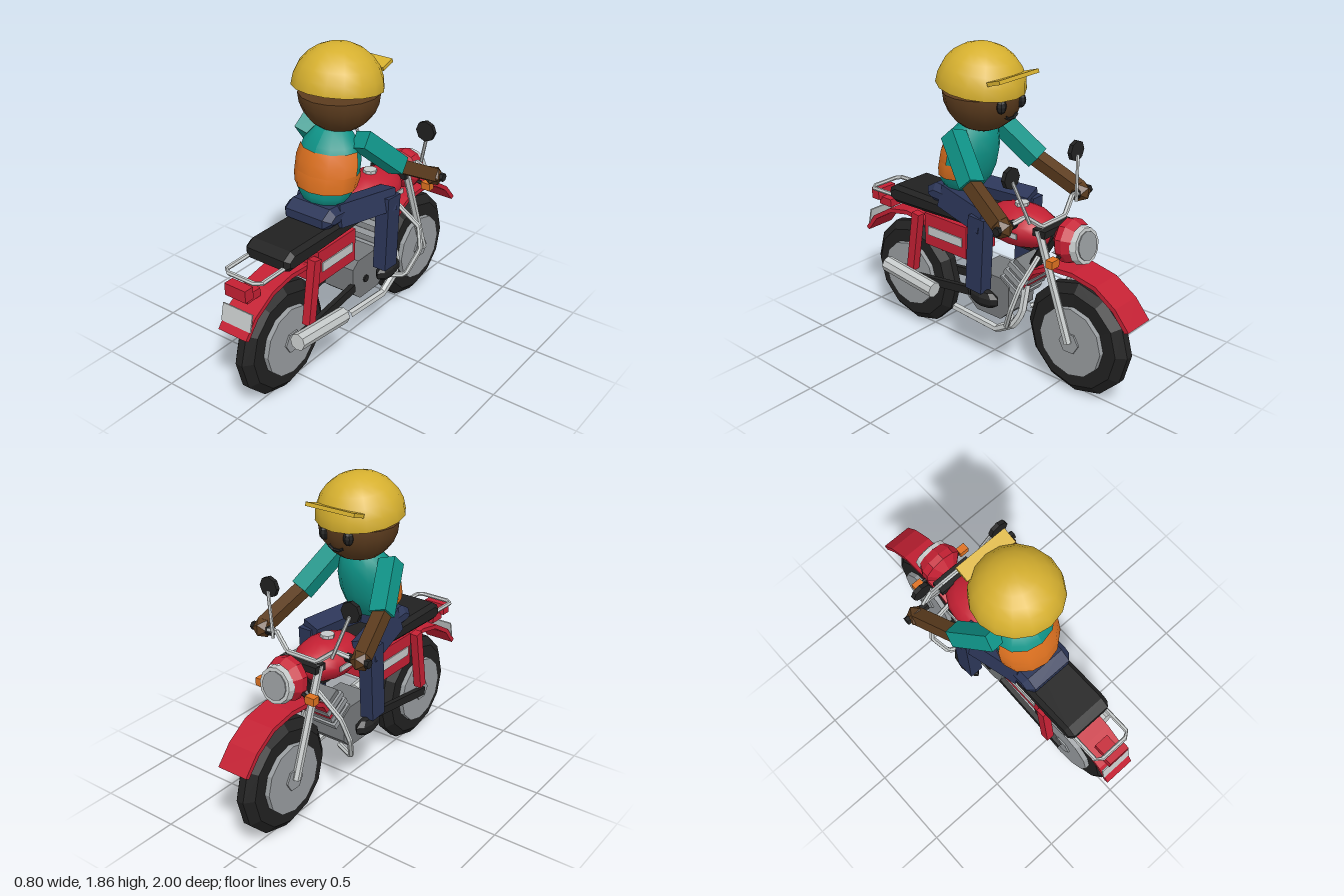
import * as THREE from 'three';

const mat = (name, color) => {
  const m = new THREE.MeshStandardMaterial({ color });
  m.name = name;
  return m;
};

export function createModel() {
  const root = new THREE.Group();
  root.name = 'motorcycleAndRider';
  const red = mat('red paint', 0xc42033), yellow = mat('helmet yellow', 0xd6b02f), teal = mat('shirt teal', 0x0f9488);
  const orange = mat('orange', 0xdd7120), navy = mat('trouser navy', 0x2c3658), brown = mat('skin brown', 0x5c3c1e);
  const black = mat('black rubber', 0x212121), silver = mat('silver', 0xc6caca);
  const grey = mat('wheel grey', 0x989c9f), iron = mat('engine grey', 0x76797b);
  const V = (p) => new THREE.Vector3(...p);

  // Faceted normals unless smooth is asked for
  function add(name, geo, material, pos = [0, 0, 0], rot = [0, 0, 0], smooth = false) {
    if (!smooth) {
      if (geo.index) geo = geo.toNonIndexed();
      geo.computeVertexNormals();
    }
    const mesh = new THREE.Mesh(geo, material);
    mesh.name = name;
    mesh.position.set(...pos);
    mesh.rotation.set(...rot);
    root.add(mesh);
    return mesh;
  }
  const box = (name, size, m, pos, rot) => add(name, new THREE.BoxGeometry(...size), m, pos, rot);

  // Straight part between two points
  function between(name, a, b, m, make) {
    let p = V(a), q = V(b);
    if (q.y < p.y) [p, q] = [q, p];
    const d = q.clone().sub(p);
    const mesh = add(name, make(d.length()), m, p.clone().add(q).multiplyScalar(0.5).toArray());
    mesh.quaternion.setFromUnitVectors(new THREE.Vector3(0, 1, 0), d.normalize());
    return mesh;
  }
  const rod = (name, a, b, r, m, sides = 6) => between(name, a, b, m, (l) => new THREE.CylinderGeometry(r, r, l, sides));
  const bar = (name, a, b, w, d, m) => between(name, a, b, m, (l) => new THREE.BoxGeometry(w, l, d));

  // Bent pipe through straight sections
  function pipe(name, pts, r, m) {
    const path = new THREE.CurvePath();
    for (let i = 1; i < pts.length; i++) path.add(new THREE.LineCurve3(V(pts[i - 1]), V(pts[i])));
    return add(name, new THREE.TubeGeometry(path, (pts.length - 1) * 5, r, 6), m);
  }

  // Side profile given as [z, y], extruded across x
  function profile(name, pts, width, m, bevel = 0) {
    const geo = new THREE.ExtrudeGeometry(new THREE.Shape(pts.map((p) => new THREE.Vector2(...p))), {
      depth: width - 2 * bevel, bevelEnabled: bevel > 0, bevelSize: bevel, bevelThickness: bevel,
      bevelOffset: -bevel, bevelSegments: 1,
    });
    geo.rotateY(-Math.PI / 2).translate(width / 2 - bevel, 0, 0);
    return add(name, geo, m);
  }
  const pair = (build) => [1, -1].forEach(build);
  const SIDE = [0, 0, Math.PI / 2];

  // Wheels
  for (const [label, z] of [['rear', 0.63], ['front', -0.62]]) {
    const tyre = [[0.19, -0.06], [0.285, -0.062], [0.335, -0.022], [0.335, 0.022], [0.285, 0.062], [0.19, 0.06]];
    add(label + 'Tyre', new THREE.LatheGeometry(tyre.map((p) => new THREE.Vector2(...p)), 12), black, [0, 0.335, z], SIDE);
    add(label + 'WheelDisc', new THREE.CylinderGeometry(0.205, 0.205, 0.18, 12), grey, [0, 0.335, z], SIDE);
    add(label + 'Hub', new THREE.CylinderGeometry(0.065, 0.065, 0.2, 6), grey, [0, 0.335, z], SIDE);
  }

  // Fenders: arched strips offset towards the wheel centre
  function fender(name, pts, zc) {
    const inner = pts.map(([z, y]) => {
      const dz = zc - z, dy = 0.34 - y, l = Math.hypot(dz, dy);
      return [z + dz / l * 0.027, y + dy / l * 0.027];
    });
    profile(name, [...pts, ...inner.reverse()], 0.19, red);
  }
  fender('rearFender', [[1, 0.545], [0.92, 0.645], [0.78, 0.73], [0.63, 0.76], [0.5, 0.752], [0.4, 0.7], [0.31, 0.6]], 0.63);
  fender('frontFender', [[-1, 0.54], [-0.91, 0.645], [-0.78, 0.73], [-0.625, 0.76], [-0.47, 0.75], [-0.34, 0.68], [-0.26, 0.54]], -0.62);

  // Tail: light, plate, rack
  box('tailLight', [0.14, 0.07, 0.06], red, [0, 0.78, 0.93]);
  box('tailBracket', [0.09, 0.05, 0.1], red, [0, 0.735, 0.87]);
  box('rearPlate', [0.2, 0.1, 0.009], silver, [0, 0.63, 0.955], [-0.22, 0, 0]);
  pipe('luggageRack', [[-0.12, 0.85, 0.6], [-0.12, 0.845, 0.91], [0.12, 0.845, 0.91], [0.12, 0.85, 0.6]], 0.013, silver);

  // Seat, frame and bodywork
  profile('seat', [[-0.12, 0.84], [0.68, 0.815], [0.725, 0.84], [0.725, 0.895], [0.67, 0.93], [-0.12, 0.925]], 0.3, black, 0.025);
  box('frameRail', [0.14, 0.05, 0.85], black, [0, 0.81, 0.1]);
  rod('downTube', [0, 0.9, -0.43], [0, 0.5, -0.2], 0.035, black);
  box('sidePanels', [0.25, 0.2, 0.33], red, [0, 0.712, 0.275]);
  pair((s) => {
    box('panelStripe', [0.008, 0.055, 0.27], silver, [s * 0.128, 0.708, 0.275]);
    bar('rearShock', [s * 0.135, 0.8, 0.485], [s * 0.135, 0.42, 0.545], 0.05, 0.055, red);
    bar('swingArm', [s * 0.105, 0.41, 0.1], [s * 0.105, 0.335, 0.63], 0.03, 0.05, black);
    box('fuelTankStripe', [0.008, 0.03, 0.16], silver, [s * 0.163, 0.892, -0.22]);
  });
  const tank = add('fuelTank', new THREE.SphereGeometry(1, 14, 8), red, [0, 0.89, -0.2], [0, 0, 0], true);
  tank.scale.set(0.163, 0.118, 0.235);
  add('tankCap', new THREE.CylinderGeometry(0.04, 0.04, 0.03, 8), silver, [0, 1.007, -0.2]);

  // Engine with finned cylinder
  profile('engineCase', [[-0.2, 0.37], [-0.14, 0.31], [0.04, 0.31], [0.11, 0.37], [0.11, 0.53], [0.06, 0.57], [-0.14, 0.57], [-0.2, 0.53]], 0.22, iron);
  add('crankCap', new THREE.CylinderGeometry(0.022, 0.022, 0.24, 8), black, [0, 0.42, -0.01], SIDE);
  for (let i = 0; i < 6; i++) {
    const w = i % 2 ? 0.17 : 0.2;
    box('cylinderFin', [w, 0.034, w - 0.04], i % 2 ? iron : grey, [0, 0.53 + i * 0.027, -0.195 - i * 0.016], [-0.53, 0, 0]);
  }

  // Exhaust and crash bars
  pipe('exhaustPipe', [[0.07, 0.57, -0.3], [0.12, 0.42, -0.31], [0.14, 0.34, -0.27], [0.14, 0.262, -0.14], [0.14, 0.285, 0.19]], 0.024, silver);
  rod('muffler', [0.19, 0.415, 0.71], [0.19, 0.37, 0.31], 0.048, silver, 8);
  pair((s) => pipe('crashBar', [[s * 0.06, 0.76, -0.37], [s * 0.23, 0.64, -0.38], [s * 0.265, 0.51, -0.35],
    [s * 0.215, 0.35, -0.27], [s * 0.08, 0.34, -0.2]], 0.016, silver));

  // Front fork, clamp and headlight
  pair((s) => {
    rod('frontFork', [s * 0.11, 0.95, -0.41], [s * 0.11, 0.34, -0.625], 0.023, silver);
    box('indicator', [0.06, 0.045, 0.045], orange, [s * 0.17, 0.823, -0.553]);
    rod('indicatorStem', [s * 0.06, 0.85, -0.54], [s * 0.15, 0.823, -0.553], 0.012, black);
  });
  box('forkClamp', [0.25, 0.04, 0.085], black, [0, 0.935, -0.42]);
  const shell = [[0, -0.08], [0.06, -0.075], [0.125, -0.02], [0.125, 0.02], [0.1, 0.07]];
  add('headlightShell', new THREE.LatheGeometry(shell.map((p) => new THREE.Vector2(...p)), 10), red, [0, 0.895, -0.545], [-Math.PI / 2 + 0.1, 0, 0]);
  add('headlightRim', new THREE.CylinderGeometry(0.1, 0.107, 0.04, 12), silver, [0, 0.89, -0.63], [-Math.PI / 2 + 0.17, 0, 0]);
  add('headlightLens', new THREE.CylinderGeometry(0.08, 0.08, 0.008, 12), grey, [0, 0.894, -0.652], [-Math.PI / 2 + 0.17, 0, 0]);

  // Handlebar, grips and mirrors
  pipe('handlebar', [[-0.3, 1.02, -0.36], [-0.2, 1.05, -0.39], [-0.1, 0.97, -0.42], [0.1, 0.97, -0.42],
    [0.2, 1.05, -0.39], [0.3, 1.02, -0.36]], 0.015, silver);
  pair((s) => {
    rod('grip', [s * 0.25, 1.02, -0.36], [s * 0.4, 1.021, -0.36], 0.025, black);
    rod('mirrorStalk', [s * 0.2, 1.02, -0.42], [s * 0.275, 1.26, -0.365], 0.01, silver);
    add('mirror', new THREE.CylinderGeometry(0.06, 0.06, 0.025, 8), black, [s * 0.275, 1.28, -0.35], [Math.PI / 2, 0, 0]);
  });

  // Rider torso: leaning lathe with an orange wrap on the back
  function torso(name, pts, m, from, segs) {
    const geo = new THREE.LatheGeometry(pts.map((p) => new THREE.Vector2(...p)), segs, from, segs * Math.PI / 6);
    const p = geo.attributes.position;
    for (let i = 0; i < p.count; i++) p.setZ(i, p.getZ(i) * 0.8 + 0.2 - (p.getY(i) - 1.15) * 0.22);
    geo.computeVertexNormals();
    add(name, geo, m, [0, 0, 0], [0, 0, 0], true);
  }
  torso('shirt', [[0, 1], [0.12, 1.01], [0.165, 1.07], [0.186, 1.15], [0.186, 1.25], [0.16, 1.34], [0.1, 1.41], [0, 1.43]], teal, 0, 12);
  torso('backWrapLower', [[0.183, 1.1], [0.193, 1.15], [0.193, 1.19]], orange, -Math.PI * 2 / 3, 8);
  torso('backWrapUpper', [[0.193, 1.19], [0.193, 1.25], [0.176, 1.315]], orange, -Math.PI / 2, 6);

  // Arms and legs
  pair((s) => {
    bar('upperArm', [s * 0.18, 1.38, 0.14], [s * 0.275, 1.17, -0.08], 0.105, 0.1, teal);
    bar('forearm', [s * 0.27, 1.18, -0.06], [s * 0.335, 1.03, -0.34], 0.075, 0.075, brown);
    add('hand', new THREE.IcosahedronGeometry(0.06, 0), brown, [s * 0.335, 1.02, -0.35]);
    bar('thigh', [s * 0.1, 0.96, 0.27], [s * 0.19, 0.935, -0.12], 0.12, 0.13, navy);
    bar('shin', [s * 0.21, 0.97, -0.085], [s * 0.21, 0.52, -0.06], 0.085, 0.115, navy);
    const shoe = add('shoe', new THREE.SphereGeometry(1, 8, 5), black, [s * 0.205, 0.475, -0.1]);
    shoe.scale.set(0.045, 0.055, 0.112);
  });
  profile('hips', [[0.19, 0.91], [0.35, 0.915], [0.405, 0.94], [0.405, 0.99], [0.34, 1.03], [0.19, 1.02]], 0.32, navy, 0.035);

  // Head and helmet
  const HALF = Math.PI / 2;
  add('head', new THREE.SphereGeometry(0.225, 16, 6, 0, Math.PI * 2, HALF, HALF), brown, [0, 1.6, 0.085], [0, 0, 0], true);
  add('headTop', new THREE.CircleGeometry(0.225, 16), brown, [0, 1.6, 0.085], [-HALF, 0, 0]);
  const tilt = [-0.13, 0, 0];
  const dome = add('helmet', new THREE.SphereGeometry(0.253, 16, 6, 0, Math.PI * 2, 0, HALF), yellow, [0, 1.627, 0.1], tilt, true);
  dome.scale.set(0.98, 0.94, 1);
  add('helmetUnderside', new THREE.CircleGeometry(0.248, 16), yellow, [0, 1.627, 0.1], [HALF - 0.13, 0, 0]);
  box('visor', [0.32, 0.022, 0.09], yellow, [0, 1.71, -0.13], [0.3, 0, 0]);
  pair((s) => {
    const eye = add('eye', new THREE.SphereGeometry(0.03, 8, 6), black, [s * 0.08, 1.565, -0.115]);
    eye.scale.y = 1.4;
  });
  pipe('mouth', [[-0.05, 1.5, -0.115], [-0.02, 1.482, -0.117], [0.02, 1.482, -0.117], [0.05, 1.5, -0.115]], 0.009, black);

  return root;
}
